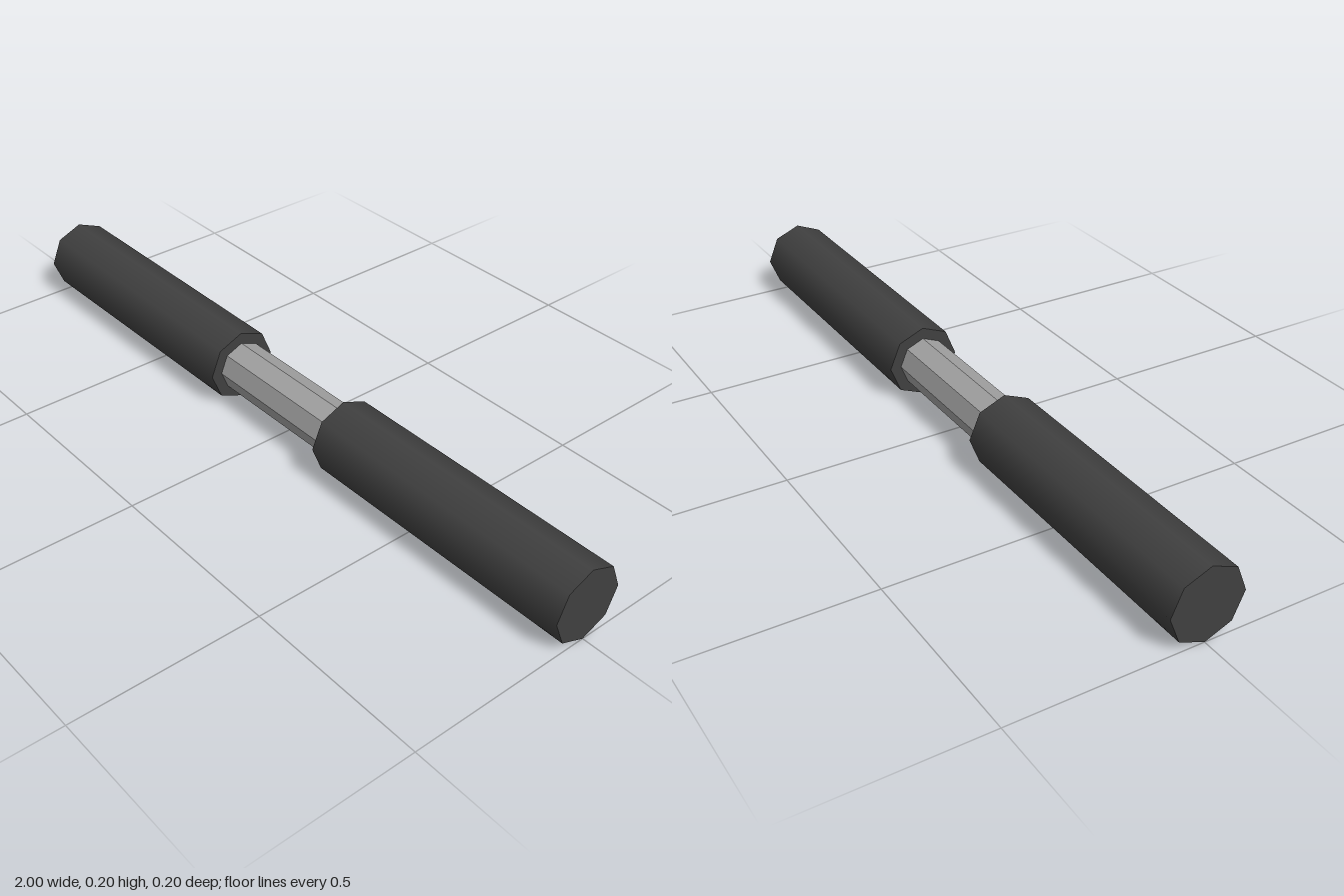
import * as THREE from 'three';

const SIDES = 8;
const GRIP_RADIUS = 0.099;
const ROD_RADIUS = 0.068;
const INNER = 0.205; // where each grip begins

export function createModel() {
  const model = new THREE.Group();
  model.name = 'twoGripBar';

  const gripMaterial = new THREE.MeshStandardMaterial({ color: 0x404040 });
  gripMaterial.name = 'charcoal grip';
  const rodMaterial = new THREE.MeshStandardMaterial({ color: 0xa0a0a0 });
  rodMaterial.name = 'grey metal';

  // An eight-sided bar lying along x
  const addBar = (name, radius, length, x, material, faceted) => {
    let geometry = new THREE.CylinderGeometry(radius, radius, length, SIDES);
    geometry.rotateZ(Math.PI / 2);
    if (faceted) {
      geometry = geometry.toNonIndexed();
      geometry.computeVertexNormals();
    }
    const mesh = new THREE.Mesh(geometry, material);
    mesh.name = name;
    mesh.position.set(x, GRIP_RADIUS, 0);
    model.add(mesh);
  };

  // Faceted connecting rod, its ends just inside the grips
  addBar('connectingRod', ROD_RADIUS, 2 * INNER + 0.02, 0, rodMaterial, true);

  // Smooth-shaded grips on both ends
  const gripLength = 1 - INNER;
  for (const [name, side] of [['leftGrip', 1], ['rightGrip', -1]]) {
    addBar(name, GRIP_RADIUS, gripLength, side * (INNER + gripLength / 2), gripMaterial, false);
  }

  return model;
}
